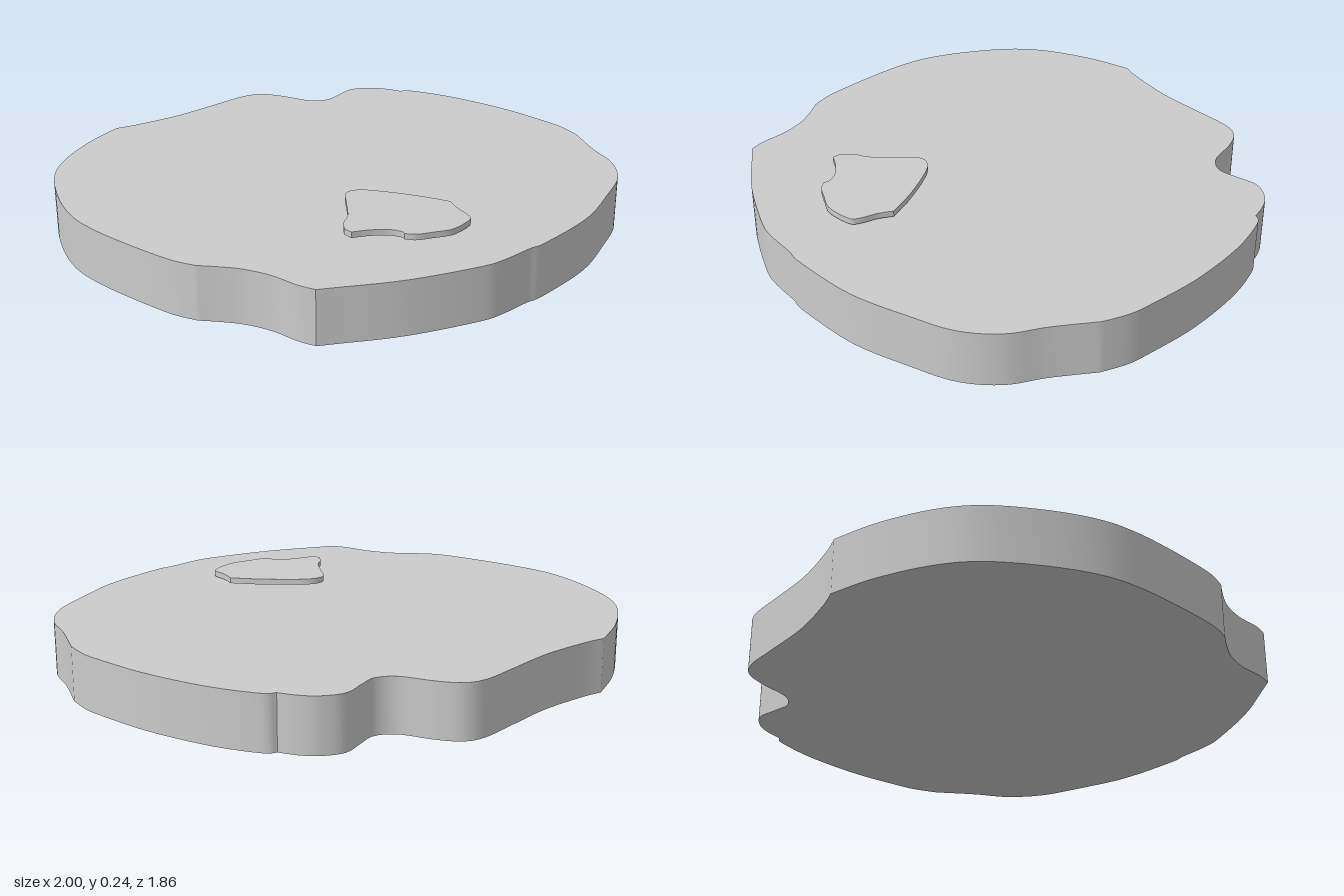
import * as THREE from 'three';
import { toCreasedNormals } from 'three/addons/utils/BufferGeometryUtils.js';

// Outline as smooth runs of [x, z] points that meet at corners
const slabRuns = [
  [[-0.48, -0.89], [-0.39, -0.88], [-0.2, -0.88], [0, -0.91], [0.14, -0.93], [0.22, -0.91], [0.28, -0.84],
    [0.34, -0.73], [0.41, -0.69], [0.48, -0.71], [0.57, -0.74], [0.65, -0.71], [0.7, -0.66], [0.735, -0.6]],
  [[0.735, -0.6], [0.78, -0.57], [0.87, -0.41], [0.95, -0.18], [0.99, 0.03], [1, 0.12], [0.99, 0.22]],
  [[0.99, 0.22], [0.93, 0.38], [0.89, 0.52], [0.8, 0.64], [0.66, 0.73], [0.45, 0.84], [0.2, 0.905],
    [0.12, 0.91], [0, 0.925], [-0.1, 0.92], [-0.35, 0.86], [-0.56, 0.775], [-0.62, 0.75]],
  [[-0.62, 0.75], [-0.65, 0.69], [-0.68, 0.59], [-0.73, 0.5], [-0.79, 0.435], [-0.84, 0.39]],
  [[-0.84, 0.39], [-0.89, 0.3], [-0.95, 0.11], [-0.99, -0.06], [-1, -0.2], [-0.97, -0.37], [-0.9, -0.56],
    [-0.8, -0.69], [-0.64, -0.81], [-0.48, -0.89]],
];

const chipRuns = [
  [[-0.34, 0.505], [-0.31, 0.46], [-0.265, 0.42], [-0.205, 0.325], [-0.17, 0.27], [-0.135, 0.255],
    [-0.085, 0.275], [-0.01, 0.35], [0.06, 0.435], [0.11, 0.51]],
  [[0.11, 0.51], [0.095, 0.565], [0.09, 0.63], [0.07, 0.665], [-0.025, 0.695], [-0.105, 0.68],
    [-0.16, 0.665], [-0.19, 0.64]],
  [[-0.19, 0.64], [-0.19, 0.62], [-0.22, 0.585], [-0.28, 0.555], [-0.335, 0.54]],
  [[-0.335, 0.54], [-0.34, 0.505]],
];

// Upright plate with smooth walls and sharp rims
function plate(name, runs, height) {
  const shape = new THREE.Shape();
  shape.moveTo(runs[0][0][0], -runs[0][0][1]);
  for (const run of runs) {
    shape.splineThru(run.slice(1).map(([x, z]) => new THREE.Vector2(x, -z)));
  }
  const geometry = new THREE.ExtrudeGeometry(shape, { depth: height, bevelEnabled: false, curveSegments: 5 });
  geometry.rotateX(-Math.PI / 2);
  const mesh = new THREE.Mesh(
    toCreasedNormals(geometry, Math.PI / 6),
    new THREE.MeshStandardMaterial({ color: 0xcccccc }),
  );
  mesh.name = name;
  return mesh;
}

export function createModel() {
  const model = new THREE.Group();
  model.name = 'slabWithChip';

  // Thick irregular base
  model.add(plate('slab', slabRuns, 0.2));

  // Thin chip hovering just above the base, sloping down to the front left
  const chip = plate('chip', chipRuns, 0.022);
  const position = chip.geometry.attributes.position;
  for (let i = 0; i < position.count; i++) {
    const lift = 0.214 - 0.025 * (position.getX(i) + 0.1) - 0.02 * (position.getZ(i) - 0.5);
    position.setY(i, position.getY(i) + lift);
  }
  chip.geometry = toCreasedNormals(chip.geometry, Math.PI / 6);
  model.add(chip);

  return model;
}
